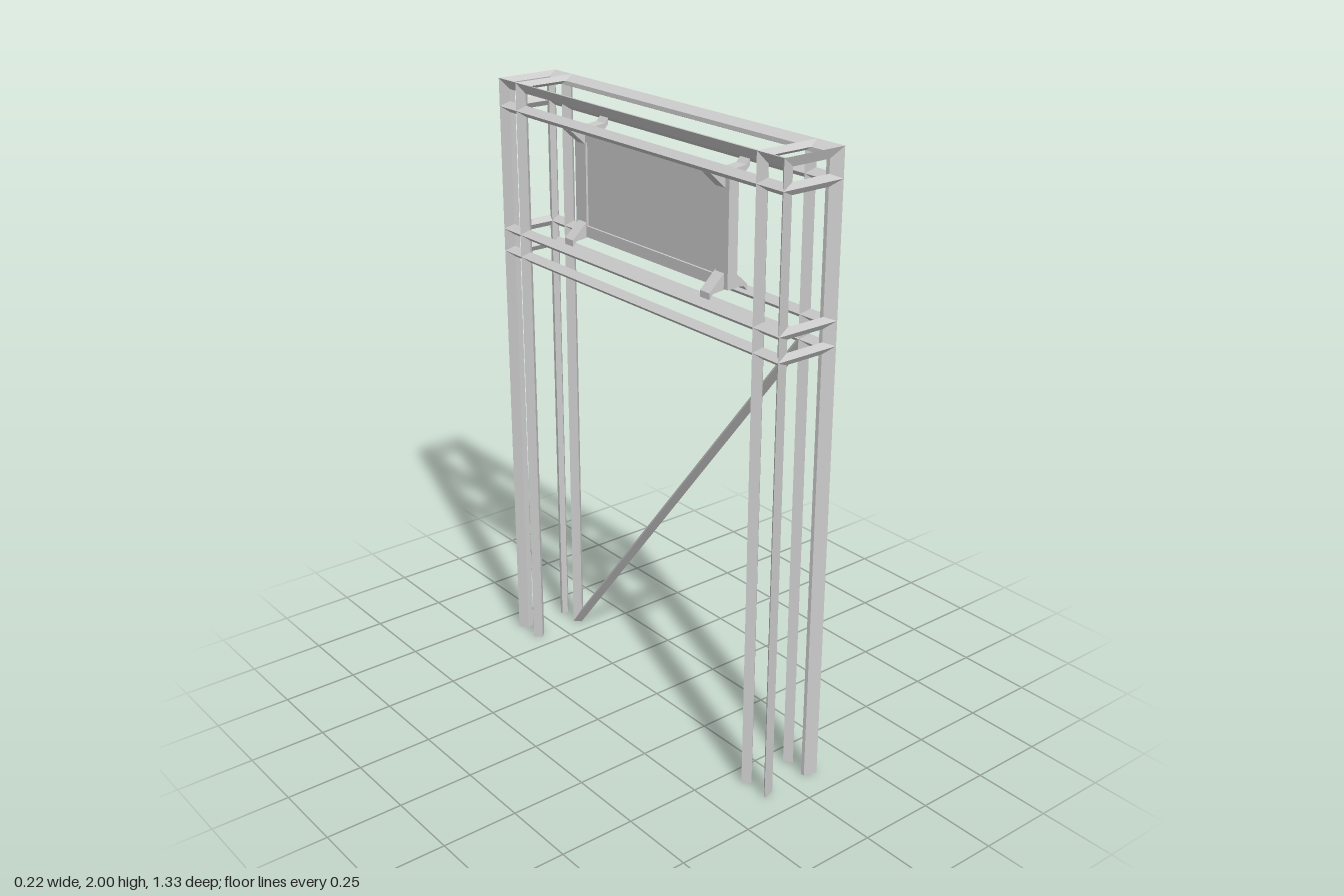
import * as THREE from 'three';

const material = new THREE.MeshStandardMaterial({ color: 0xcccccc, flatShading: true });

// Grid lines of the box-shaped lattice
const X = [-0.088, 0.088];
const Y = [0, 1.43, 1.505, 1.91, 1.987];
const Z = [-0.655, -0.573, 0.56, 0.655];

// A joint: its surface point, and its ridge points outside and inside
function joint(i, j, k) {
  const point = new THREE.Vector3(X[i], Y[j], Z[k]);
  const push = new THREE.Vector3(i ? 0.022 : -0.022, j === 4 ? 0.013 : 0, k === 0 ? -0.012 : k === 3 ? 0.012 : 0);
  return { i, j, k, point, outer: point.clone().add(push), inner: point.clone().sub(push) };
}

// Half width of the bar along the edge between two joints
function barWidth(a, b) {
  if (a.j === b.j && a.j === 0) return 0; // the feet are not joined
  if (a.j !== b.j && a.k !== b.k) return 0.016; // diagonal brace
  if (a.j === 4 && b.j === 4 && a.k !== b.k) return 0.021; // long top edges seen from above
  if (a.j === b.j) return 0.018;
  return 0.0225;
}

// Opening width next to an edge, adjusted for the box corners
function edgeWidth(a, b, onEnd, onTop) {
  if (onTop && a.k === b.k) return a.k % 3 ? 0.0225 : 0.015;
  if (a.k === b.k && a.j !== b.j && a.k % 3 === 0) return onEnd ? 0.021 : 0.015;
  return barWidth(a, b);
}

// Lattice of ridged bars: every cell edge gets an outer and an inner sloped strip
function buildLattice() {
  const pos = [];
  const tri = (...pts) => pts.forEach((p) => pos.push(p.x, p.y, p.z));
  const quad = (a, b, c, d) => { tri(a, b, c); tri(a, c, d); };

  function cell(corners, onEnd = false, onTop = false) {
    const n = corners.length;
    const dirs = corners.map((c, m) => corners[(m + 1) % n].point.clone().sub(c.point).normalize());
    const widths = corners.map((c, m) => edgeWidth(c, corners[(m + 1) % n], onEnd, onTop));
    const inset = corners.map((c, m) => {
      const p = (m + n - 1) % n;
      const sin = dirs[p].clone().cross(dirs[m]).length();
      return c.point.clone()
        .addScaledVector(dirs[m], widths[p] / sin)
        .addScaledVector(dirs[p], -widths[m] / sin);
    });
    corners.forEach((a, m) => {
      const q = (m + 1) % n, b = corners[q];
      if (widths[m] === 0) { // close the cut ends of the feet
        tri(a.outer, a.inner, inset[m]);
        tri(b.outer, inset[q], b.inner);
        return;
      }
      quad(a.outer, b.outer, inset[q], inset[m]);
      quad(a.inner, inset[m], inset[q], b.inner);
    });
  }

  for (let j = 0; j < 4; j++) {
    // long sides, with the brace splitting one tall cell
    for (let k = 0; k < 3; k++) {
      const left = [joint(1, j, k + 1), joint(1, j, k), joint(1, j + 1, k), joint(1, j + 1, k + 1)];
      if (j === 0 && k === 1) {
        cell([left[0], left[1], left[3]]);
        cell([left[1], left[2], left[3]]);
      } else cell(left);
      cell([joint(0, j, k), joint(0, j, k + 1), joint(0, j + 1, k + 1), joint(0, j + 1, k)]);
    }
    // narrow ends
    cell([joint(0, j, 3), joint(1, j, 3), joint(1, j + 1, 3), joint(0, j + 1, 3)], true);
    cell([joint(1, j, 0), joint(0, j, 0), joint(0, j + 1, 0), joint(1, j + 1, 0)], true);
  }
  // top
  for (let k = 0; k < 3; k++) {
    cell([joint(0, 4, k + 1), joint(1, 4, k + 1), joint(1, 4, k), joint(0, 4, k)], false, true);
  }

  const geometry = new THREE.BufferGeometry();
  geometry.setAttribute('position', new THREE.Float32BufferAttribute(pos, 3));
  geometry.computeVertexNormals();
  return geometry;
}

function box(name, w, h, d, x, y, z) {
  const mesh = new THREE.Mesh(new THREE.BoxGeometry(w, h, d), material);
  mesh.name = name;
  mesh.position.set(x, y, z);
  return mesh;
}

export function createModel() {
  const model = new THREE.Group();
  model.name = 'signFrame';

  const lattice = new THREE.Mesh(buildLattice(), material);
  lattice.name = 'latticeFrame';
  model.add(lattice);

  // Hanging panel with a raised border
  const panel = new THREE.Group();
  panel.name = 'panel';
  panel.add(box('panelSheet', 0.022, 0.28, 0.64, 0, 1.71, -0.02));
  panel.add(box('topRail', 0.036, 0.04, 0.735, 0, 1.862, -0.02));
  panel.add(box('bottomRail', 0.036, 0.036, 0.735, 0, 1.555, -0.02));
  for (const z of [0.32, -0.36]) panel.add(box('panelStile', 0.036, 0.345, 0.055, 0, 1.71, z));
  model.add(panel);

  // Slanted brackets tying the panel to the long bars
  const bracketShape = new THREE.Shape([[0.012, 1.83], [0.072, 1.885], [0.072, 1.905], [0.058, 1.89], [0.012, 1.885]]
    .map(([x, y]) => new THREE.Vector2(x, y)));
  const bracketGeometry = new THREE.ExtrudeGeometry(bracketShape, { depth: 0.042, bevelEnabled: false });
  bracketGeometry.translate(0, -1.71, -0.021);
  for (const z of [0.31, -0.355]) {
    for (const turn of [0, Math.PI]) {
      for (const flip of [0, Math.PI]) {
        const bracket = new THREE.Mesh(bracketGeometry, material);
        bracket.name = 'panelBracket';
        bracket.position.set(0, 1.71, z);
        bracket.rotation.set(flip, turn, 0);
        model.add(bracket);
      }
    }
  }
  return model;
}
